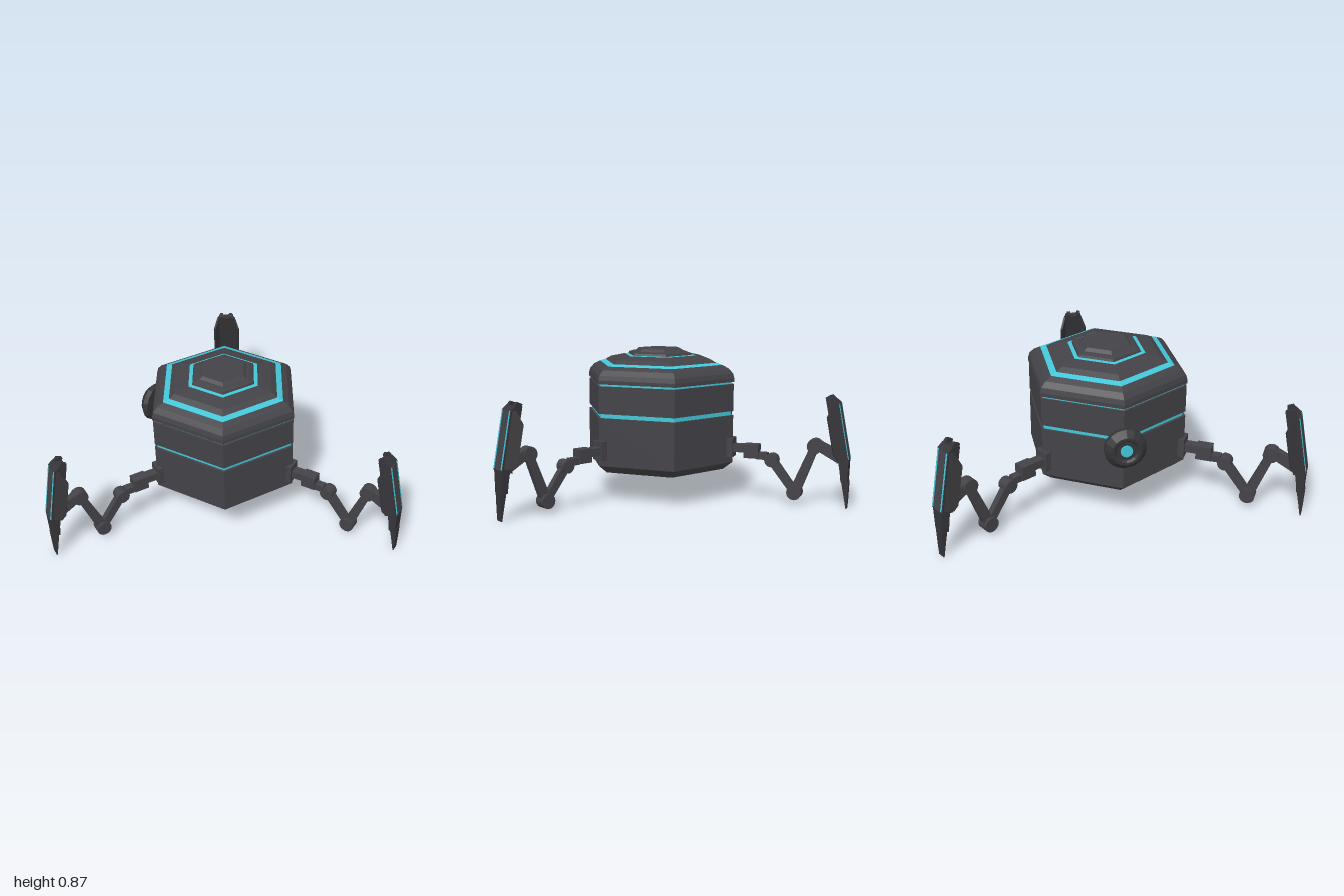
import * as THREE from 'three';

const mat = (name, color) => {
  const m = new THREE.MeshStandardMaterial({ color });
  m.name = name;
  return m;
};

export function createModel() {
  const hull = mat('charcoal', 0x434247);
  const dark = mat('dark charcoal', 0x353539);
  const glow = mat('cyan', 0x43c6d8);
  const root = new THREE.Group();
  root.name = 'hexPodWalker';

  const add = (parent, name, geo, material, x = 0, y = 0, z = 0) => {
    const m = new THREE.Mesh(geo, material);
    m.name = name;
    m.position.set(x, y, z);
    parent.add(m);
    return m;
  };
  const flat = (geo) => {
    const g = geo.index ? geo.toNonIndexed() : geo;
    g.computeVertexNormals();
    return g;
  };
  // faceted ring of panels from an upward [radius, height] profile
  const hex = (pts, sides = 6) => flat(new THREE.LatheGeometry(
    pts.map(([r, y]) => new THREE.Vector2(r, y)), sides, Math.PI / 2));
  // side profile in x,y given a thickness along z
  const plate = (pts, depth) => {
    const s = new THREE.Shape(pts.map(([x, y]) => new THREE.Vector2(x, y)));
    return new THREE.ExtrudeGeometry(s, { depth, bevelEnabled: false }).translate(0, 0, -depth / 2);
  };
  // tapered bar between two points in the x,y plane
  const bar = (a, b, wa, wb, depth) => {
    const len = Math.hypot(b[0] - a[0], b[1] - a[1]);
    const nx = -(b[1] - a[1]) / len / 2, ny = (b[0] - a[0]) / len / 2;
    return plate([
      [a[0] + nx * wa, a[1] + ny * wa], [a[0] - nx * wa, a[1] - ny * wa],
      [b[0] - nx * wb, b[1] - ny * wb], [b[0] + nx * wb, b[1] + ny * wb]], depth);
  };

  // everything is arranged around the body axis
  const pod = new THREE.Group();
  pod.name = 'pod';
  pod.position.x = -0.27;
  root.add(pod);

  // body shell
  add(pod, 'lowerBody', hex([[0, 0.17], [0.395, 0.17], [0.452, 0.215], [0.452, 0.49], [0.43, 0.49]]), hull);
  add(pod, 'middleGlowBand', hex([[0.437, 0.485], [0.437, 0.52]]), glow);
  add(pod, 'upperBody', hex([[0.43, 0.515], [0.452, 0.515], [0.452, 0.672], [0.43, 0.672]]), hull);
  add(pod, 'upperGlowBand', hex([[0.441, 0.668], [0.441, 0.688]]), glow);

  // stepped roof with two inlaid rings
  add(pod, 'roofEdge', hex([[0.43, 0.684], [0.455, 0.684], [0.455, 0.705], [0.447, 0.732],
    [0.42, 0.76], [0.382, 0.779]]), hull);
  add(pod, 'outerRoofRing', hex([[0.382, 0.779], [0.345, 0.79]]), glow);
  add(pod, 'roofSlope', hex([[0.345, 0.79], [0.31, 0.81], [0.222, 0.828]]), hull);
  add(pod, 'innerRoofRing', hex([[0.222, 0.828], [0.198, 0.83]]), glow);
  add(pod, 'roofCap', hex([[0.198, 0.83], [0.192, 0.842], [0.165, 0.85], [0.152, 0.85],
    [0.132, 0.866], [0, 0.866]]), hull);

  // round sensor on the corner opposite the first leg
  const sensor = new THREE.Group();
  sensor.name = 'sensor';
  sensor.position.set(-0.44, 0.48, 0);
  sensor.rotation.z = Math.PI / 2;
  pod.add(sensor);
  add(sensor, 'sensorDish', hex([[0.03, 0], [0.035, 0.02], [0.11, 0.032], [0.112, 0.06],
    [0.08, 0.092], [0.065, 0.092], [0.055, 0.08], [0, 0.08]], 16), dark);
  add(sensor, 'sensorLens', new THREE.CylinderGeometry(0.032, 0.032, 0.008, 16), glow, 0, 0.084, 0);

  const buildLeg = (angle, index) => {
    const leg = new THREE.Group();
    leg.name = 'leg' + index;
    leg.rotation.y = angle;
    pod.add(leg);
    const box = (name, x0, x1, y0, y1, d, m = hull) => add(leg, name,
      new THREE.BoxGeometry(x1 - x0, y1 - y0, d), m, (x0 + x1) / 2, (y0 + y1) / 2, 0);
    const joint = (name, p, r, d) => add(leg, name,
      new THREE.CylinderGeometry(r, r, d, 16).rotateX(Math.PI / 2), hull, p[0], p[1], 0);

    // hip blocks
    box('hipMount', 0.41, 0.462, 0.25, 0.36, 0.085);
    box('hipArm', 0.45, 0.54, 0.28, 0.325, 0.055);
    box('hipBlock', 0.525, 0.61, 0.25, 0.33, 0.066);
    box('hipLink', 0.60, 0.66, 0.245, 0.285, 0.045);

    // zigzag limb
    const knee = [0.685, 0.245], ankle = [0.82, 0.068], elbow = [0.93, 0.342];
    joint('kneeJoint', knee, 0.038, 0.066);
    add(leg, 'thigh', bar(knee, ankle, 0.05, 0.045, 0.034), hull);
    joint('lowJoint', ankle, 0.042, 0.066);
    add(leg, 'shin', bar(ankle, elbow, 0.058, 0.045, 0.034), hull);
    joint('elbowJoint', elbow, 0.043, 0.058);
    add(leg, 'forearm', plate([[0.93, 0.378], [0.965, 0.37], [1.06, 0.325], [1.06, 0.255],
      [0.955, 0.312]], 0.042), hull);

    // leaning shield
    const shield = new THREE.Group();
    shield.name = 'shield';
    shield.position.set(1.09, 0.27, 0);
    shield.rotation.z = 0.19;
    leg.add(shield);
    add(shield, 'shieldBody', plate([[-0.033, -0.006], [0.032, 0], [0.032, 0.325], [0.008, 0.352],
      [-0.035, 0.352]], 0.09), dark);
    add(shield, 'shieldFace', new THREE.BoxGeometry(0.006, 0.32, 0.056), hull, 0.033, 0.163, 0);
    for (const s of [-1, 1]) {
      add(shield, 'shieldGlowStrip', new THREE.BoxGeometry(0.006, 0.315, 0.009), glow, 0.032, 0.165, s * 0.036);
      add(shield, 'shieldProng', plate([[-0.036, 0.34], [0.018, 0.34], [-0.005, 0.373],
        [-0.036, 0.366]], 0.02), dark, 0, 0, s * 0.03);
      // swept-back side fin
      const fin = add(shield, 'shieldFin', plate([[0, 0.012], [0.05, 0.015], [0.068, 0.05],
        [0.068, 0.26], [0.02, 0.325], [0, 0.325]], 0.012), dark, 0.02, 0, s * 0.042);
      fin.rotation.y = s * -(Math.PI - 0.56);
    }

    // claw stepping down to a point
    add(leg, 'clawSocket', plate([[1.063, 0.28], [1.122, 0.28], [1.12, 0.215], [1.118, 0.15],
      [1.082, 0.15], [1.075, 0.21]], 0.068), dark);
    add(leg, 'clawBlade', plate([[1.081, 0.16], [1.124, 0.16], [1.12, 0.05], [1.117, 0],
      [1.112, 0], [1.097, 0.08]], 0.042), dark);
  };
  [0, 2, -2].forEach((k, i) => buildLeg(k * Math.PI / 3, i + 1));

  return root;
}
